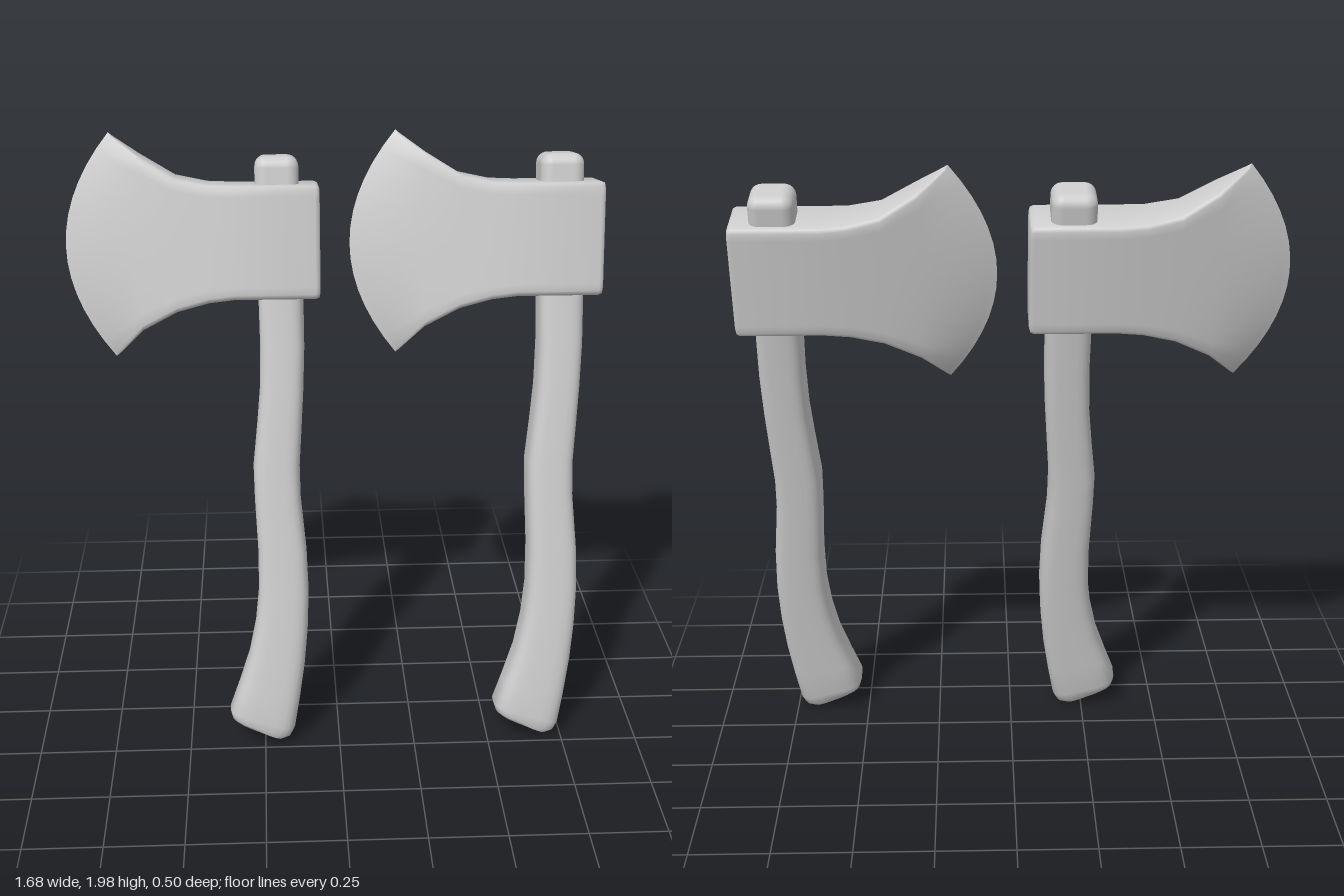
import * as THREE from 'three';
import { toCreasedNormals } from 'three/addons/utils/BufferGeometryUtils.js';
import { RoundedBoxGeometry } from 'three/addons/geometries/RoundedBoxGeometry.js';

const material = new THREE.MeshStandardMaterial({ color: 0xcccccc });

// Skin a list of equal-length rings (clockwise seen from the far end) and cap both ends
function loft(rings, crease) {
  const n = rings[0].length, pos = [], index = [];
  rings.forEach(r => r.forEach(p => pos.push(...p)));
  for (let i = 0; i < rings.length - 1; i++) {
    for (let k = 0; k < n; k++) {
      const a = i * n + k, b = i * n + (k + 1) % n, c = b + n, d = a + n;
      index.push(a, d, c, a, c, b);
    }
  }
  [0, rings.length - 1].forEach(i => {
    const centre = pos.length / 3;
    pos.push(...[0, 1, 2].map(j => rings[i].reduce((s, p) => s + p[j], 0) / n));
    for (let k = 0; k < n; k++) {
      const a = i * n + k, b = i * n + (k + 1) % n;
      if (i === 0) index.push(centre, a, b);
      else index.push(centre, b, a);
    }
  });
  const g = new THREE.BufferGeometry();
  g.setAttribute('position', new THREE.Float32BufferAttribute(pos, 3));
  g.setIndex(index);
  return toCreasedNormals(g, crease);
}

// Upright slice of the head: softened rectangle, bowed towards the cutting edge
function headRing([x, bow, bottom, top, half]) {
  const r = Math.min(0.015, half * 0.5), mid = (bottom + top) / 2, h = (top - bottom) / 2;
  const side = [[bottom + r * 0.3, half - r * 0.3]];
  const rows = 14;
  for (let j = 0; j <= rows; j++) side.push([bottom + r + (top - bottom - 2 * r) * j / rows, half]);
  side.push([top - r * 0.3, half - r * 0.3], [top, half - r]);
  const back = side.map(([y, z]) => [y, -z]).reverse();
  const loop = [...side, ...back, [bottom, r - half], [bottom, half - r]];
  return loop.map(([y, z]) => [x - bow * (1 - ((y - mid) / h) ** 2), y, z]);
}

// Handle slice from its left and right ends, with rounded corners
function handleRing([xl, yl, xr, yr, half = 0.0735]) {
  const ring = [], n = 24;
  const soft = v => Math.sign(v) * Math.abs(v) ** 0.5;
  for (let k = 0; k < n; k++) {
    const t = (k + 0.5) / n * Math.PI * 2;
    const u = soft(Math.cos(t)) / 2 + 0.5;
    ring.push([xl + (xr - xl) * u, yl + (yr - yl) * u, half * soft(Math.sin(t))]);
  }
  return ring;
}

function createAxe() {
  const axe = new THREE.Group();
  const add = (name, geometry) => {
    const mesh = new THREE.Mesh(geometry, material);
    mesh.name = name;
    axe.add(mesh);
    return mesh;
  };

  // Head: x, bow, bottom, top, half thickness, from cutting edge to poll
  add('axeHead', loft([
    [-0.70, 0.145, 1.334, 2.035, 0],
    [-0.69, 0.13, 1.342, 2.026, 0.012],
    [-0.61, 0.01, 1.422, 1.968, 0.06],
    [-0.50, 0, 1.481, 1.90, 0.076],
    [-0.40, 0, 1.509, 1.878, 0.087],
    [-0.32, 0, 1.519, 1.874, 0.0935],
    [-0.065, 0, 1.519, 1.874, 0.0935],
    [-0.054, 0, 1.523, 1.87, 0.0895],
    [-0.05, 0, 1.534, 1.859, 0.0785],
  ].map(headRing), 0.9));

  // Handle: left end, right end of each slice, from foot to head
  add('handle', loft([
    [-0.345, 0.09, -0.19, 0.021, 0.062],
    [-0.36, 0.102, -0.165, 0.032, 0.07],
    [-0.366, 0.125, -0.15, 0.06],
    [-0.335, 0.21, -0.132, 0.165],
    [-0.298, 0.32, -0.114, 0.29],
    [-0.275, 0.43, -0.103, 0.41],
    [-0.263, 0.54, -0.098, 0.54],
    [-0.262, 0.68, -0.103, 0.68],
    [-0.27, 0.86, -0.12, 0.86],
    [-0.272, 0.97, -0.122, 0.97],
    [-0.258, 1.10, -0.114, 1.10],
    [-0.247, 1.22, -0.107, 1.22],
    [-0.243, 1.36, -0.102, 1.36],
    [-0.246, 1.55, -0.103, 1.55],
  ].map(handleRing), 1.0));

  // Handle end showing through the top of the head
  add('handleTop', new RoundedBoxGeometry(0.137, 0.16, 0.147, 4, 0.035)).position.set(-0.182, 1.88, 0);
  return axe;
}

export function createModel() {
  const model = new THREE.Group();
  // Two matching axes side by side, both leaning back
  [0, 0.89].forEach((x, i) => {
    const axe = createAxe();
    axe.name = i ? 'leftAxe' : 'rightAxe';
    axe.position.set(x, 0, 0.187);
    axe.rotation.x = -0.188;
    model.add(axe);
  });
  return model;
}
